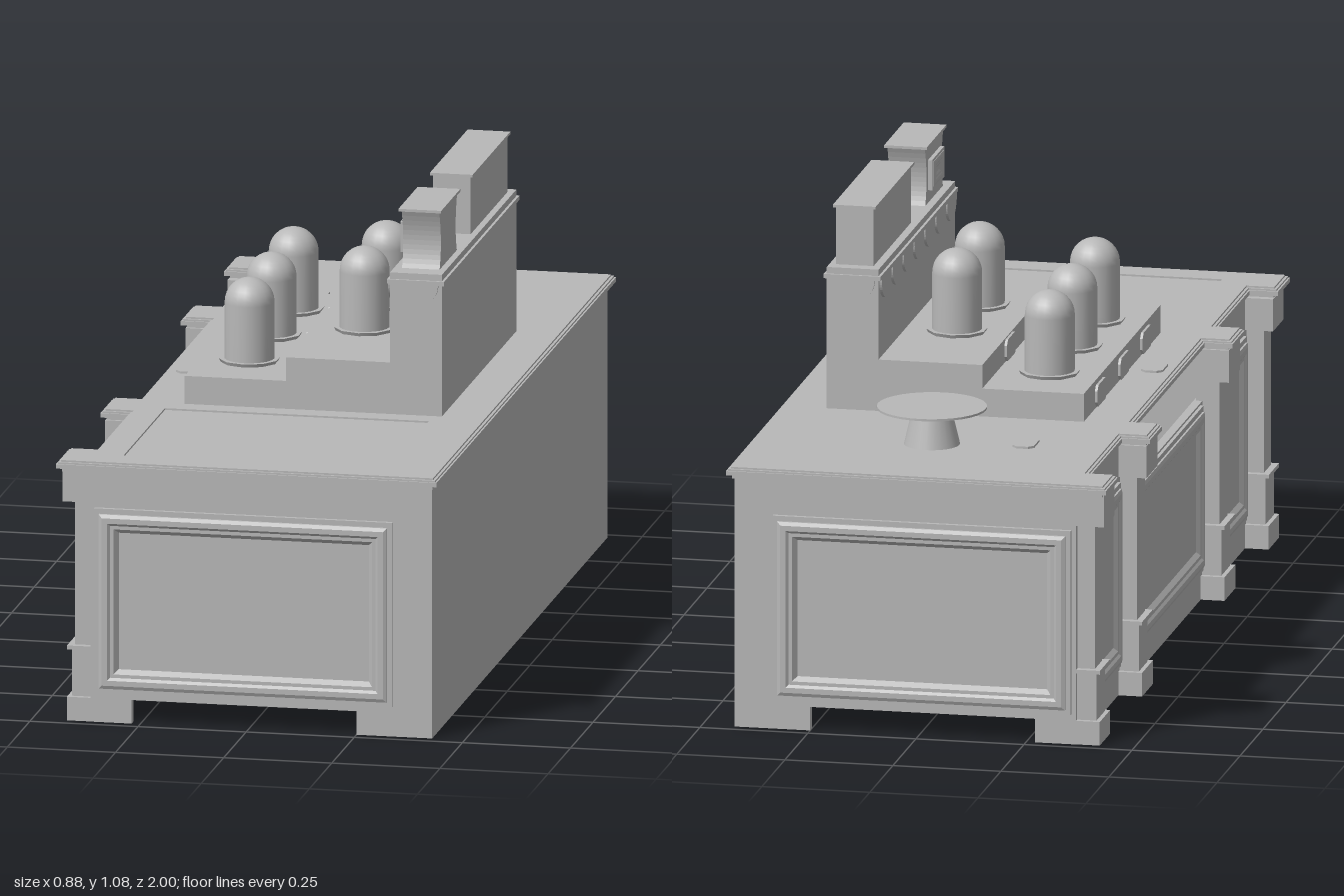
import * as THREE from 'three';

const grey = new THREE.MeshStandardMaterial({ color: 0xb8b8b8 });
grey.name = 'plain grey';

export function createModel() {
  const model = new THREE.Group();
  model.name = 'displayCounter';

  const add = (name, geometry, x = 0, y = 0, z = 0) => {
    const mesh = new THREE.Mesh(geometry, grey);
    mesh.name = name;
    mesh.position.set(x, y, z);
    model.add(mesh);
    return mesh;
  };
  // box given by its extents
  const box = (name, x0, x1, y0, y1, z0, z1) =>
    add(name, new THREE.BoxGeometry(x1 - x0, y1 - y0, z1 - z0), (x0 + x1) / 2, (y0 + y1) / 2, (z0 + z1) / 2);
  const polygon = pts => new THREE.Shape(pts.map(p => new THREE.Vector2(p[0], p[1])));
  const extrude = (shape, depth, curveSegments = 12) =>
    new THREE.ExtrudeGeometry(shape, { depth, bevelEnabled: false, curveSegments });

  // moulded rectangular panel facing +z, lofted from [inset, depth] loops
  const panel = (w, h, d) => {
    const loops = [[0, 0], [0, d * 0.5], [0.012, d * 0.5], [0.012, d * 0.8], [0.02, d], [0.032, d],
      [0.038, d * 0.7], [0.046, d * 0.7], [0.056, d * 0.1]].map(([i, z]) => {
      const a = w / 2 - i, b = h / 2 - i;
      return [[-a, -b, z], [a, -b, z], [a, b, z], [-a, b, z]];
    });
    const pos = [];
    const quad = (a, b, c, e) => pos.push(...a, ...b, ...c, ...a, ...c, ...e);
    for (let i = 0; i < loops.length - 1; i++)
      for (let k = 0; k < 4; k++) {
        const n = (k + 1) % 4;
        quad(loops[i][k], loops[i][n], loops[i + 1][n], loops[i + 1][k]);
      }
    quad(...loops[loops.length - 1]);
    const g = new THREE.BufferGeometry();
    g.setAttribute('position', new THREE.Float32BufferAttribute(pos, 3));
    g.computeVertexNormals();
    return g;
  };

  // cabinet: open underneath, end walls stand on bracket feet
  box('longWall', 0.405, 0.425, 0, 0.585, -0.975, 0.975);
  const endShape = polygon([[-0.365, 0], [-0.27, 0], [-0.27, 0.055], [0.25, 0.055], [0.25, 0],
    [0.425, 0], [0.425, 0.585], [-0.365, 0.585]]);
  for (const s of [1, -1]) {
    add('endWall', extrude(endShape, 0.02), 0, 0, s > 0 ? 0.955 : -0.975);
    const p = add('endPanel', panel(0.69, 0.43, 0.02), -0.01, 0.285, s * 0.975);
    if (s < 0) p.rotation.y = Math.PI;
  }

  // panelled side: two tall bays and a lower middle bay with an open slot above
  const bays = [[-0.9, -0.455, 0.585, -0.69, 0.34, 0.43], [-0.455, 0.44, 0.46, -0.008, 0.77, 0.385],
    [0.44, 0.9, 0.585, 0.68, 0.33, 0.43]];
  for (const [z0, z1, top, zc, w, h] of bays) {
    box('bayWall', -0.365, -0.345, 0, top, z0, z1);
    add('bayPanel', panel(w, h, 0.015), -0.365, 0.07 + h / 2, zc).rotation.y = -Math.PI / 2;
  }

  // pilasters
  for (const [z, half] of [[-0.917, 0.057], [-0.455, 0.06], [0.44, 0.06], [0.917, 0.057]]) {
    const block = (name, x, y0, y1, r) => box(name, x, -0.35, y0, y1, z - r, z + r);
    block('pilasterFoot', -0.42, 0, 0.055, half);
    block('pilasterBase', -0.41, 0.055, 0.165, half - 0.012);
    block('pilasterMoulding', -0.42, 0.165, 0.174, half - 0.002);
    block('pilasterShaft', -0.405, 0.174, 0.51, half - 0.017);
    block('pilasterCapital', -0.43, 0.51, 0.585, half);
  }

  // worktop outline, shrunk by d, stepping out over each pilaster
  const outline = d => {
    const pts = [[0.44 - d, 1 - d], [0.44 - d, -1 + d]];
    const out = -0.44 + d, back = -0.375 + d;
    for (const [a, b] of [[-1, -0.87], [-0.52, -0.39], [0.375, 0.505], [0.865, 1]]) {
      if (a > -1) pts.push([back, a + d]);
      pts.push([out, a + d], [out, b - d]);
      if (b < 1) pts.push([back, b - d]);
    }
    return polygon(pts.map(([x, z]) => [x, -z]));
  };
  const slab = (name, d, y0, y1, holes = []) => {
    const shape = outline(d);
    for (const [x0, x1, z0, z1] of holes)
      shape.holes.push(new THREE.Path([[x0, -z0], [x1, -z0], [x1, -z1], [x0, -z1]].map(p => new THREE.Vector2(...p))));
    add(name, extrude(shape, y1 - y0).rotateX(-Math.PI / 2), 0, y0, 0);
  };
  slab('worktopUnderside', 0.012, 0.583, 0.592);
  slab('worktopEdge', 0, 0.592, 0.602);
  slab('worktopShoulder', 0.004, 0.602, 0.606);
  // shallow inset field at each end of the top
  slab('worktopTop', 0.01, 0.606, 0.61, [[-0.3, 0.31, 0.46, 0.92]]);

  // stepped display stand with a tall back
  const z0 = -0.42, z1 = 0.41;
  box('lowerStep', -0.265, -0.03, 0.6, 0.675, z0, z1);
  box('upperStep', -0.03, 0.21, 0.6, 0.73, z0, z1);
  box('standBack', 0.21, 0.33, 0.6, 0.915, z0, z1);
  box('standCornice', 0.204, 0.336, 0.915, 0.925, z0 - 0.006, z1 + 0.006);
  box('standCap', 0.21, 0.33, 0.925, 0.94, z0, z1);

  // scalloped trim below the cornice
  const half = new THREE.Shape();
  half.absarc(0, 0, 0.052, Math.PI, Math.PI * 2, false);
  const scallop = extrude(half, 0.006);
  for (let i = 0; i < 7; i++)
    add('scallop', scallop, 0.21, 0.915, -0.36 + i * 0.1185).rotation.y = -Math.PI / 2;
  add('endScallop', scallop, 0.27, 0.915, z1);
  add('endScallop', scallop, 0.27, 0.915, z0 - 0.006);

  // small label plates with clipped corners
  const label = (w, h) => {
    const a = w / 2, b = h / 2, c = 0.012;
    return extrude(polygon([[-a + c, -b], [a - c, -b], [a, -b + c], [a, b - c], [a - c, b], [-a + c, b],
      [-a, b - c], [-a, -b + c]]), 0.006);
  };
  const riser = label(0.1, 0.05);
  for (const z of [-0.25, 0, 0.24]) add('stepLabel', riser, -0.265, 0.638, z).rotation.y = -Math.PI / 2;
  for (const z of [-0.13, 0.115]) add('stepLabel', riser, -0.03, 0.702, z).rotation.y = -Math.PI / 2;
  for (const [x, z] of [[-0.32, 0.09], [-0.18, -0.65]])
    add('worktopLabel', label(0.05, 0.08), x, 0.609, z).rotation.x = -Math.PI / 2;

  // bell jars on plates
  const domePts = [[0.057, 0.008], [0.057, 0.138]];
  for (let i = 1; i <= 8; i++) {
    const a = (i / 8) * Math.PI / 2;
    domePts.push([i === 8 ? 0 : 0.057 * Math.cos(a), 0.138 + 0.057 * Math.sin(a)]);
  }
  const dome = new THREE.LatheGeometry(domePts.map(p => new THREE.Vector2(...p)), 20);
  const plate = new THREE.CylinderGeometry(0.07, 0.066, 0.008, 10);
  for (const [x, y, z] of [[-0.15, 0.675, -0.25], [-0.15, 0.675, -0.005], [-0.15, 0.675, 0.24],
    [0.09, 0.73, -0.13], [0.09, 0.73, 0.115]]) {
    add('bellJarPlate', plate, x, y + 0.004, z);
    add('bellJar', dome, x, y, z);
  }

  // cake stand
  add('cakeStandFoot', new THREE.CylinderGeometry(0.044, 0.064, 0.084, 24), 0.03, 0.651, -0.685);
  add('cakeStandPlate', new THREE.CylinderGeometry(0.125, 0.125, 0.005, 32), 0.03, 0.6955, -0.685);

  // long box and waisted box on top of the stand
  box('longBox', 0.228, 0.315, 0.94, 1.074, -0.39, 0.018);
  box('longBoxLid', 0.222, 0.321, 1.074, 1.08, -0.396, 0.024);
  const waist = new THREE.Shape();
  waist.moveTo(-0.096, 0.94);
  waist.lineTo(0.096, 0.94);
  waist.quadraticCurveTo(0.066, 1.0, 0.1, 1.074);
  waist.lineTo(-0.1, 1.074);
  waist.quadraticCurveTo(-0.066, 1.0, -0.096, 0.94);
  add('waistedBox', extrude(waist, 0.087), 0.315, 0, 0.267).rotation.y = -Math.PI / 2;
  box('waistedBoxLid', 0.222, 0.321, 1.074, 1.08, 0.16, 0.374);
  add('waistedBoxPanel', panel(0.14, 0.13, 0.004).scale(0.95, 0.55, 1), 0.22, 1.005, 0.267).rotation.y = -Math.PI / 2;
  box('waistedBoxPlate', 0.22, 0.23, 0.97, 1.04, 0.2, 0.334);

  return model;
}
